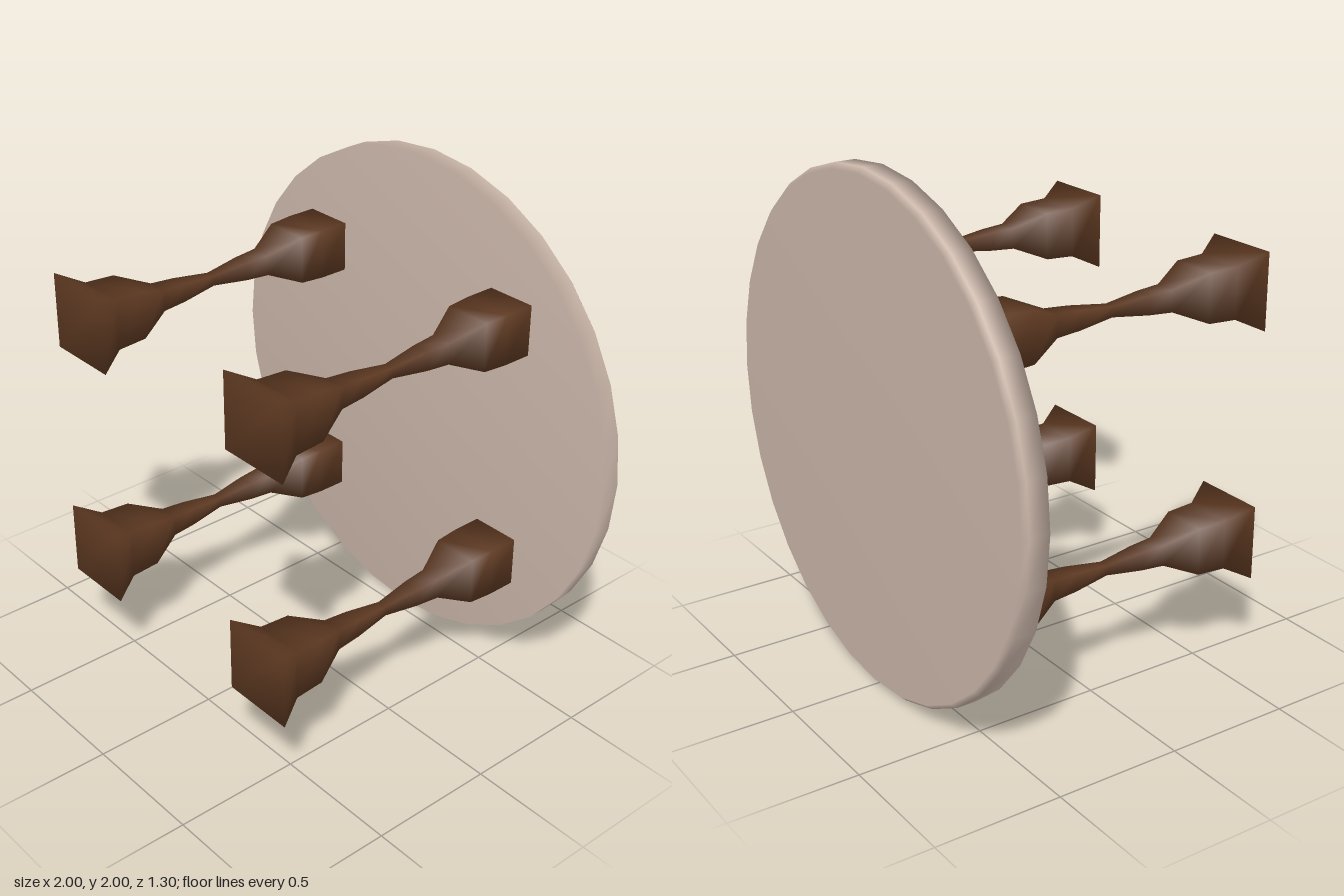
import * as THREE from 'three';
import { mergeVertices } from 'three/addons/utils/BufferGeometryUtils.js';

// Leg stations along z, front foot to table top: [z, half width]
const LEG = [
  [0.65, 0.15], [0.55, 0.1], [0.43, 0.095], [0.3, 0.042], [0.2, 0.036], [0.05, 0.02],
  [-0.1, 0.036], [-0.2, 0.042], [-0.33, 0.095], [-0.43, 0.1], [-0.55, 0.1],
];

// Square bar whose cross-sections follow the stations, with normals shared over its edges
function legGeometry() {
  const n = LEG.length - 1;
  const box = new THREE.BoxGeometry(2, 2, n, 1, 1, n);
  const p = box.attributes.position;
  for (let i = 0; i < p.count; i++) {
    const [z, half] = LEG[Math.round(n / 2 - p.getZ(i))];
    p.setXYZ(i, p.getX(i) * half, p.getY(i) * half, z);
  }
  box.deleteAttribute('normal');
  box.deleteAttribute('uv');
  const geometry = mergeVertices(box);
  geometry.computeVertexNormals();
  return geometry;
}

export function createModel() {
  const group = new THREE.Group();
  group.name = 'overturnedTable';

  // Round top standing on its rim, bevelled at the back edge
  const profile = [[0, -0.65], [0.98, -0.65], [1, -0.63], [1, -0.55], [0, -0.55]]
    .map(([r, z]) => new THREE.Vector2(r, z));
  const top = new THREE.Mesh(
    new THREE.LatheGeometry(profile, 32).rotateX(Math.PI / 2),
    new THREE.MeshStandardMaterial({ color: 0xcdb8ab })
  );
  top.name = 'tableTop';
  top.position.y = 1;
  group.add(top);

  // Four waisted legs pointing forward
  const geometry = legGeometry();
  const wood = new THREE.MeshStandardMaterial({ color: 0x5f3a22 });
  for (const x of [-0.5, 0.5]) {
    for (const y of [0.5, 1.5]) {
      const leg = new THREE.Mesh(geometry, wood);
      leg.name = (y > 1 ? 'upper' : 'lower') + (x > 0 ? 'Left' : 'Right') + 'Leg';
      leg.position.set(x, y, 0);
      group.add(leg);
    }
  }
  return group;
}
